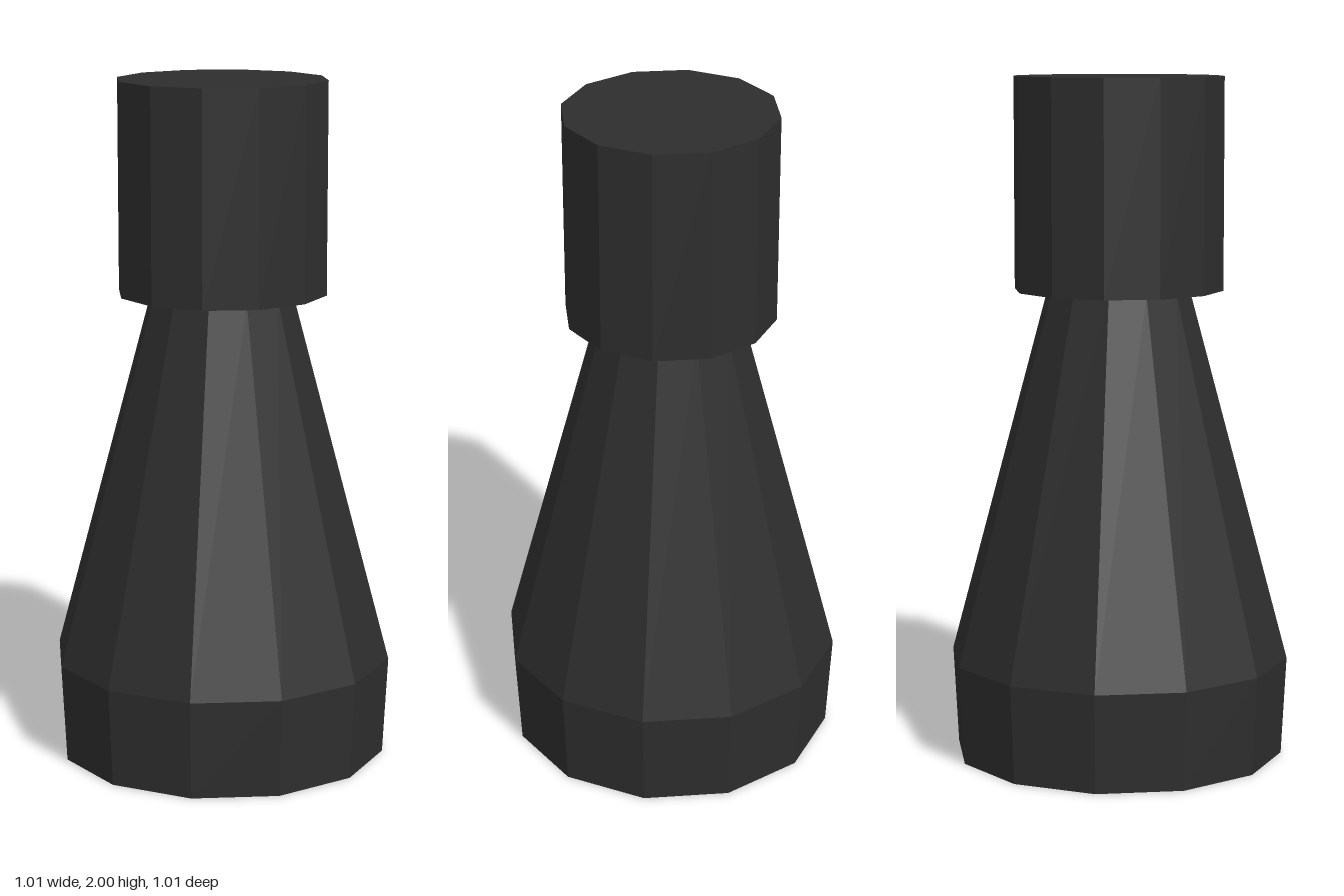
import * as THREE from 'three';

export function createModel() {
  const model = new THREE.Group();
  const charcoal = new THREE.MeshStandardMaterial({ color: 0x2e2e2e, flatShading: true });
  charcoal.name = 'charcoal';
  const SIDES = 12;

  // Twelve-sided section between two heights, with optional end caps
  function addSection(name, rTop, rBottom, y0, y1, open = false) {
    const geo = new THREE.CylinderGeometry(rTop, rBottom, y1 - y0, SIDES, 1, open);
    const mesh = new THREE.Mesh(geo, charcoal);
    mesh.name = name;
    mesh.position.y = (y0 + y1) / 2;
    model.add(mesh);
  }

  addSection('base', 0.503, 0.488, 0, 0.29);
  addSection('taperedBody', 0.21, 0.503, 0.29, 1.38, true);
  addSection('head', 0.308, 0.308, 1.38, 2);

  return model;
}
